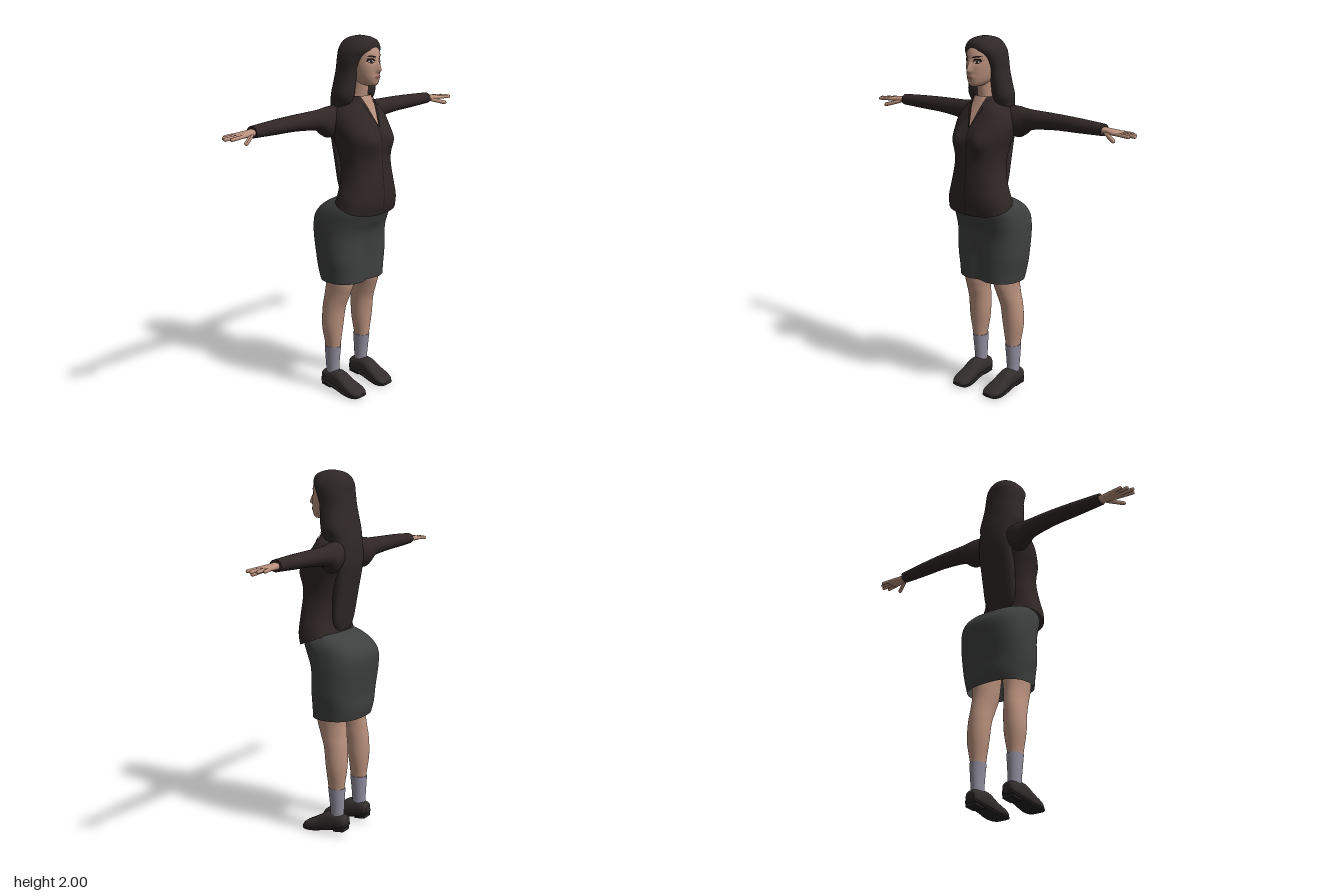
import * as THREE from 'three';

const mat = (name, color, side = THREE.FrontSide) => {
  const m = new THREE.MeshStandardMaterial({ color, side });
  m.name = name;
  return m;
};

// Smoothly resample rows of [t, centreU, halfU, vMax, vMin]
function resample(rows, k = 6) {
  const out = [];
  const at = i => rows[Math.max(0, Math.min(rows.length - 1, i))];
  for (let i = 0; i < rows.length - 1; i++) {
    for (let j = 0; j < k; j++) {
      const s = j / k;
      out.push(rows[0].map((_, c) => {
        const [a, b, d, e] = [at(i - 1)[c], at(i)[c], at(i + 1)[c], at(i + 2)[c]];
        return b + 0.5 * s * (d - a + s * (2 * a - 5 * b + 4 * d - e + s * (3 * (b - d) + e - a)));
      }));
    }
  }
  out.push(rows[rows.length - 1]);
  return out;
}

// Solid through superellipse sections; axes gives the letters for t, u and v
function loft(rows, { axes = 'yxz', n = 2, seg = 40, caps = [true, true], bump = null, warp = null } = {}) {
  const list = resample(rows), pos = [], idx = [];
  const put = (t, u, v) => {
    const p = new THREE.Vector3();
    p[axes[0]] = t; p[axes[1]] = u; p[axes[2]] = v;
    if (warp) warp(p);
    return pos.push(p.x, p.y, p.z) / 3 - 1;
  };
  const ring = ([t, cu, ru, v1, v0]) => {
    const first = pos.length / 3;
    for (let j = 0; j < seg; j++) {
      const a = j / seg * Math.PI * 2, c = Math.cos(a), s = Math.sin(a);
      const u = cu + ru * Math.sign(c) * Math.abs(c) ** (2 / n);
      let v = (v1 + v0) / 2 + (v1 - v0) / 2 * Math.sign(s) * Math.abs(s) ** (2 / n);
      if (bump && s > 0) v += bump(u, t) * Math.min(1, 2 * s);
      put(t, u, v);
    }
    return first;
  };
  const firsts = list.map(ring);
  for (let i = 0; i < firsts.length - 1; i++) for (let j = 0; j < seg; j++) {
    const k = (j + 1) % seg, a = firsts[i], b = firsts[i + 1];
    idx.push(a + j, b + j, a + k, b + j, b + k, a + k);
  }
  caps.forEach((on, end) => {
    if (!on) return;
    const r = end ? list[list.length - 1] : list[0];
    const f = ring(r), c = put(r[0], r[1], (r[3] + r[4]) / 2);
    for (let j = 0; j < seg; j++) {
      const k = (j + 1) % seg;
      idx.push(c, ...(end ? [f + k, f + j] : [f + j, f + k]));
    }
  });
  return makeGeo(pos, idx);
}

function makeGeo(pos, idx) {
  const g = new THREE.BufferGeometry();
  g.setAttribute('position', new THREE.Float32BufferAttribute(pos, 3));
  g.setIndex(idx);
  g.computeVertexNormals();
  return g;
}

// Thin plate lying on the front of an upright loft; outline rows are [y, x0, x1]
function plate(rows, n, bump, outline, lift, cols = 10, steps = 8) {
  const list = resample(rows), pos = [], idx = [];
  const surface = (x, y) => {
    const i = Math.max(1, list.findIndex(r => r[0] >= y));
    const f = (y - list[i - 1][0]) / (list[i][0] - list[i - 1][0]);
    const r = list[i].map((b, c) => THREE.MathUtils.lerp(list[i - 1][c], b, f));
    const s = Math.max(0, 1 - Math.abs((x - r[1]) / r[2]) ** n) ** (1 / n);
    return (r[3] + r[4]) / 2 + (r[3] - r[4]) / 2 * s + bump(x, y) * Math.min(1, 2 * s ** (n / 2));
  };
  const lines = [];
  for (let i = 0; i < outline.length - 1; i++) for (let k = i ? 1 : 0; k <= steps; k++)
    lines.push(outline[i].map((a, c) => THREE.MathUtils.lerp(a, outline[i + 1][c], k / steps)));
  lines.forEach(([y, x0, x1], i) => {
    for (let j = 0; j <= cols; j++) {
      const x = x0 + (x1 - x0) * j / cols;
      pos.push(x, y, surface(x, y) + lift);
      if (i && j) {
        const a = (i - 1) * (cols + 1) + j - 1, b = a + cols + 1;
        idx.push(a, a + 1, b, a + 1, b + 1, b);
      }
    }
  });
  return makeGeo(pos, idx);
}

// Rounded finger between two points
function finger(from, to, r) {
  const a = new THREE.Vector3(...from), b = new THREE.Vector3(...to), d = b.clone().sub(a);
  const g = new THREE.CapsuleGeometry(r, d.length() - r, 4, 10);
  g.applyQuaternion(new THREE.Quaternion().setFromUnitVectors(new THREE.Vector3(0, 1, 0), d.normalize()));
  return g.translate(...a.add(b).multiplyScalar(0.5).toArray());
}

function mirrored(g) {
  const m = g.clone().scale(-1, 1, 1), ix = m.index.array;
  for (let i = 0; i < ix.length; i += 3) [ix[i], ix[i + 1]] = [ix[i + 1], ix[i]];
  m.computeVertexNormals();
  return m;
}

const gauss = (d, w) => Math.exp(-((d / w) ** 2));

export function createModel() {
  const model = new THREE.Group();
  model.name = 'woman';
  const two = THREE.DoubleSide;
  const skin = mat('skin', 0xba917d, two), hair = mat('hair', 0x302828);
  const jacket = mat('jacket', 0x302626, two), skirt = mat('skirt', 0x3e3f3f, two);
  const sock = mat('sock', 0x918e9f), shoe = mat('shoe', 0x332e2d), sole = mat('sole', 0x252222);
  const dark = mat('eye makeup', 0x1e1717, two), white = mat('eye white', 0xb5a8a2, two), lip = mat('lips', 0x8f6055, two);
  const add = (name, g, m) => {
    const mesh = new THREE.Mesh(g, m);
    mesh.name = name;
    model.add(mesh);
  };
  const pair = (name, g, m) => {
    add('left' + name, g, m);
    add('right' + name, mirrored(g), m);
  };

  // Jacket body, with bust and a hem that rises to the back
  const torso = [
    [1.05, 0, 0.2, 0.185, -0.04], [1.12, 0, 0.188, 0.2, -0.03], [1.2, 0, 0.165, 0.2, -0.03],
    [1.31, 0, 0.145, 0.19, -0.04], [1.4, 0, 0.15, 0.182, -0.06], [1.47, 0, 0.165, 0.178, -0.085],
    [1.53, 0, 0.172, 0.155, -0.1], [1.58, 0, 0.16, 0.13, -0.102], [1.62, 0, 0.132, 0.11, -0.1],
    [1.65, 0, 0.09, 0.095, -0.085], [1.685, 0, 0.066, 0.08, -0.07]];
  const bust = (x, y) => 0.03 * gauss(Math.abs(x) - 0.08, 0.055) * gauss(y - 1.45, 0.065);
  const hem = p => { p.y += (0.185 - p.z) * 0.37 * THREE.MathUtils.clamp((1.35 - p.y) / 0.3, 0, 1); };
  add('jacketBody', loft(torso, { n: 2.4, seg: 64, caps: [false, false], bump: bust, warp: hem }), jacket);
  add('neckOpening', plate(torso, 2.4, bust, [[1.53, -0.001, 0.001], [1.685, -0.048, 0.048]], 0.004), skin);
  add('zip', plate(torso, 2.4, bust, [[1.06, -0.003, 0.003], [1.53, -0.003, 0.003]], 0.003, 2, 30), dark);
  pair('Lapel', plate(torso, 2.4, bust, [[1.525, 0, 0.004], [1.6, 0.022, 0.04], [1.685, 0.046, 0.063]], 0.009), jacket);

  // Sleeves
  pair('Sleeve', loft([
    [0.09, -0.045, 0.05, 1.635, 1.49], [0.16, -0.052, 0.062, 1.632, 1.465], [0.2, -0.056, 0.057, 1.626, 1.48],
    [0.25, -0.06, 0.05, 1.621, 1.513], [0.4, -0.066, 0.045, 1.617, 1.53], [0.55, -0.064, 0.042, 1.612, 1.535],
    [0.715, -0.062, 0.035, 1.603, 1.541]], { axes: 'xzy' }), jacket);

  // Hands
  pair('Palm', loft([
    [0.69, -0.06, 0.025, 1.59, 1.552], [0.74, -0.06, 0.029, 1.586, 1.552],
    [0.8, -0.058, 0.042, 1.581, 1.555], [0.83, -0.058, 0.036, 1.575, 1.559]], { axes: 'xzy', n: 2.4, seg: 24 }), skin);
  [[-0.091, 0.865, -0.102], [-0.069, 0.893, -0.079], [-0.046, 0.91, -0.05], [-0.026, 0.893, -0.02]].forEach(([z, tip, tz], i) =>
    pair('Finger' + (i + 1), finger([0.805, 1.568, z], [tip, 1.564, tz], 0.0095), skin));
  pair('Thumb', finger([0.735, 1.563, -0.042], [0.82, 1.537, 0.005], 0.011), skin);

  // Skirt, open below, with a soft dip between the thighs
  add('skirt', loft([
    [0.66, 0, 0.19, 0.112, -0.16], [0.72, 0, 0.199, 0.113, -0.175], [0.8, 0, 0.213, 0.113, -0.18],
    [0.93, 0, 0.215, 0.117, -0.2], [1.01, 0, 0.21, 0.145, -0.203], [1.06, 0, 0.203, 0.165, -0.175],
    [1.095, 0, 0.19, 0.165, -0.13], [1.12, 0, 0.172, 0.14, -0.08], [1.135, 0, 0.15, 0.12, -0.03]], {
    n: 2.5, seg: 64, caps: [false, true],
    bump: (x, y) => -0.022 * gauss(x, 0.05) * THREE.MathUtils.clamp((1.0 - y) / 0.2, 0, 1)
  }), skirt);

  // Legs and socks
  pair('Leg', loft([
    [0.2, 0.125, 0.035, -0.02, -0.1], [0.27, 0.125, 0.039, -0.013, -0.105], [0.39, 0.125, 0.059, 0.0, -0.12],
    [0.5, 0.12, 0.06, 0.016, -0.12], [0.58, 0.113, 0.059, 0.045, -0.112], [0.66, 0.107, 0.065, 0.068, -0.107],
    [0.85, 0.1, 0.08, 0.08, -0.12]]), skin);
  pair('Sock', loft([
    [0.08, 0.123, 0.033, -0.02, -0.1], [0.13, 0.123, 0.034, -0.024, -0.102], [0.2, 0.124, 0.038, -0.018, -0.106],
    [0.268, 0.124, 0.042, -0.01, -0.11]]), sock);

  // Shoes run heel to toe, with a thin sole and a heel block
  const shoeRows = [
    [-0.126, 0.078, 0.02, 0.145, 0.095], [-0.11, 0.077, 0.036, 0.16, 0.083], [-0.05, 0.077, 0.048, 0.164, 0.08],
    [0, 0.07, 0.05, 0.166, 0.076], [0.05, 0.048, 0.04, 0.17, 0.07], [0.1, 0.032, 0.028, 0.173, 0.062],
    [0.135, 0.022, 0.019, 0.161, 0.07], [0.15, 0.016, 0.008, 0.14, 0.09]];
  pair('Shoe', loft(shoeRows, { axes: 'zyx', n: 2.5, seg: 36 }), shoe);
  pair('Sole', loft(shoeRows.map(([z, y, h, a, b]) => [z, y - h + 0.006, 0.008, a + 0.003, b - 0.003]),
    { axes: 'zyx', n: 4, seg: 36 }), sole);
  pair('Heel', new THREE.BoxGeometry(0.07, 0.022, 0.065).rotateX(0.12).translate(0.122, 0.033, -0.085), sole);

  // Neck and head, with nose, sockets, lips and chin raised by rule
  add('neck', loft([
    [1.58, 0, 0.06, 0.08, -0.06], [1.66, 0, 0.052, 0.074, -0.05], [1.72, 0, 0.047, 0.08, -0.04],
    [1.8, 0, 0.047, 0.09, -0.03]]), skin);
  const head = [
    [1.742, 0, 0.022, 0.138, 0.07], [1.755, 0, 0.042, 0.15, 0.03], [1.785, 0, 0.06, 0.155, -0.01],
    [1.83, 0, 0.072, 0.156, -0.03], [1.87, 0, 0.077, 0.154, -0.04], [1.91, 0, 0.077, 0.15, -0.04],
    [1.95, 0, 0.068, 0.13, -0.03], [1.98, 0, 0.04, 0.09, 0]];
  const face = (x, y) => 0.024 * gauss(x, 0.013) * (y < 1.825 ? gauss(y - 1.825, 0.012) : gauss(y - 1.825, 0.04))
    - 0.008 * gauss(Math.abs(x) - 0.034, 0.02) * gauss(y - 1.876, 0.016)
    + 0.006 * gauss(x, 0.025) * gauss(y - 1.79, 0.012);
  add('head', loft(head, { seg: 88, bump: face }), skin);
  const paint = (outline, lift) => plate(head, 2, face, outline, lift, 12, 6);
  pair('EyeShade', paint([[1.863, 0.03, 0.042], [1.875, 0.015, 0.057], [1.888, 0.024, 0.052]], 0.002), dark);
  pair('EyeWhite', paint([[1.867, 0.03, 0.042], [1.873, 0.02, 0.051], [1.879, 0.028, 0.045]], 0.0035), white);
  pair('Iris', paint([[1.867, 0.033, 0.039], [1.873, 0.03, 0.042], [1.879, 0.033, 0.039]], 0.005), dark);
  pair('Brow', paint([[1.893, 0.013, 0.02], [1.898, 0.014, 0.05], [1.903, 0.03, 0.059]], 0.002), dark);
  add('lips', paint([[1.781, -0.01, 0.01], [1.79, -0.025, 0.025], [1.799, -0.009, 0.009]], 0.002), lip);

  // Long hair, parted around the throat and falling to the waist
  add('hair', loft([
    [1.14, 0, 0.07, 0, -0.045], [1.2, 0, 0.1, 0, -0.06], [1.35, 0, 0.11, 0, -0.09], [1.5, 0, 0.112, -0.02, -0.118],
    [1.58, 0, 0.116, 0, -0.12], [1.64, 0, 0.126, 0.06, -0.116], [1.69, 0, 0.139, 0.078, -0.106],
    [1.75, 0, 0.13, 0.088, -0.096], [1.82, 0, 0.119, 0.1, -0.086], [1.88, 0, 0.117, 0.116, -0.08],
    [1.93, 0, 0.107, 0.135, -0.077], [1.97, 0, 0.08, 0.13, -0.058], [1.99, 0, 0.05, 0.1, -0.025],
    [2.0, 0, 0.012, 0.06, 0.02]], {
    n: 2.3, seg: 72,
    bump: (x, y) => y > 1.6 ? -0.075 * gauss(x, 0.06) * THREE.MathUtils.clamp((1.93 - y) / 0.1, 0, 1) : 0
  }), hair);
  // Loose locks down the back
  [-0.075, -0.03, 0.02, 0.07].forEach((x, i) => {
    const path = new THREE.CatmullRomCurve3([[1.7, -0.083], [1.58, -0.103], [1.4, -0.088], [1.25, -0.06], [1.15, -0.04]]
      .map(([y, z], k) => new THREE.Vector3(x * (1 - 0.06 * k), y, z + Math.abs(x) * 0.3)));
    add('backLock' + (i + 1), new THREE.TubeGeometry(path, 24, 0.016, 8), hair);
  });
  return model;
}
